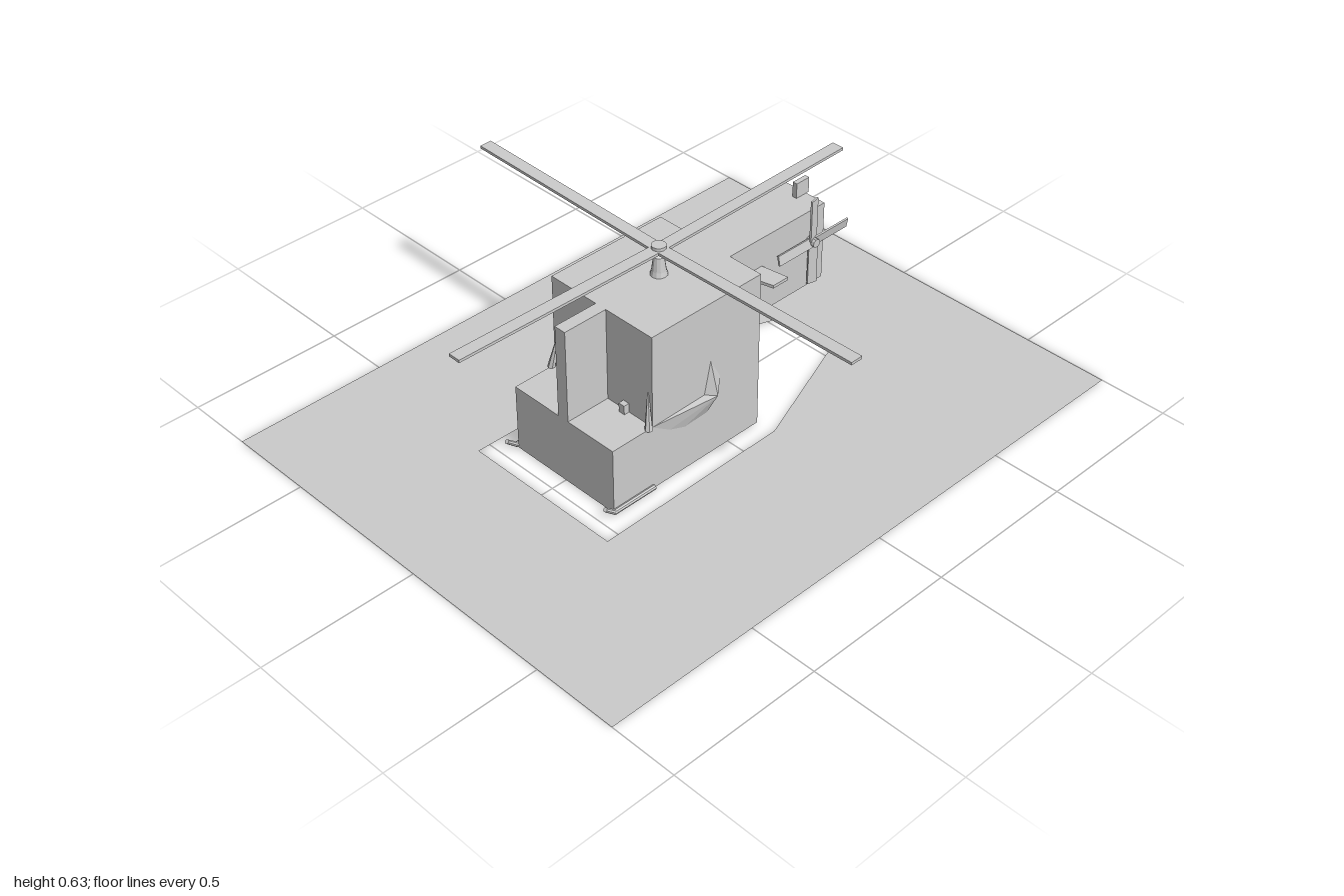
import * as THREE from 'three';

const material = new THREE.MeshStandardMaterial({ color: 0xcccccc, flatShading: true, side: THREE.DoubleSide });

export function createModel() {
  const model = new THREE.Group();

  const add = (name, geometry, parent = model) => {
    const mesh = new THREE.Mesh(geometry, material);
    mesh.name = name;
    parent.add(mesh);
    return mesh;
  };
  // box given by its limits on each axis
  const box = (name, [x0, x1], [y0, y1], [z0, z1], parent) => {
    const mesh = add(name, new THREE.BoxGeometry(x1 - x0, y1 - y0, z1 - z0), parent);
    mesh.position.set((x0 + x1) / 2, (y0 + y1) / 2, (z0 + z1) / 2);
    return mesh;
  };
  // tapered rod between two points
  const rod = (name, a, b, r0, r1, sides = 8) => {
    const from = new THREE.Vector3(...a), dir = new THREE.Vector3(...b).sub(from);
    const mesh = add(name, new THREE.CylinderGeometry(r1, r0, dir.length(), sides));
    mesh.position.copy(from).addScaledVector(dir, 0.5);
    mesh.quaternion.setFromUnitVectors(new THREE.Vector3(0, 1, 0), dir.normalize());
    return mesh;
  };
  const outline = (points) => points.map(([x, y]) => new THREE.Vector2(x, y));

  // ground plate with a cut-out around the fuselage (shape y becomes -z)
  const plate = new THREE.Shape(outline([[-0.78, -1], [0.78, -1], [0.78, 1], [-0.78, 1]]));
  plate.holes.push(new THREE.Path(outline([
    [-0.27, -0.54], [-0.26, 0.13], [-0.1, 0.555], [0.1, 0.555], [0.26, 0.13], [0.27, -0.54],
  ])));
  add('groundPlate', new THREE.ShapeGeometry(plate).rotateX(-Math.PI / 2));

  // blocky fuselage
  box('lowerHull', [-0.2, 0.2], [0.003, 0.223], [-0.12, 0.45]);
  box('cabin', [-0.2, 0.2], [0.223, 0.53], [-0.12, 0.3]);
  box('windscreenPost', [-0.02, 0.02], [0.223, 0.53], [0.3, 0.45]);
  box('tailBoom', [-0.08, 0.08], [0.27, 0.53], [-0.51, -0.12]);
  box('tailFin', [-0.008, 0.008], [0.53, 0.58], [-0.52, -0.468]);
  rod('tailLight', [0, 0.33, -0.505], [0, 0.33, -0.517], 0.01, 0.006);

  // mast and main rotor with slightly raised blade tips
  const mast = add('mast', new THREE.LatheGeometry(outline([
    [0.026, 0.53], [0.022, 0.545], [0.016, 0.59], [0.008, 0.595], [0.008, 0.61],
  ]), 12));
  mast.position.z = 0.08;
  const mainRotor = new THREE.Group();
  mainRotor.name = 'mainRotor';
  mainRotor.position.set(0, 0.613, 0.08);
  model.add(mainRotor);
  const hub = add('mainHub', new THREE.CylinderGeometry(0.022, 0.022, 0.024, 12), mainRotor);
  hub.position.y = 0.003;
  for (let i = 0; i < 4; i++) {
    const arm = new THREE.Group();
    arm.name = 'mainBladeArm';
    arm.rotation.set(0, i * Math.PI / 2, 0.016);
    arm.rotation.order = 'YXZ';
    mainRotor.add(arm);
    box('mainBlade', [0.005, 0.73], [-0.004, 0.005], [-0.02, 0.02], arm);
  }

  // tail rotor on the left side of the boom
  const tailRotor = new THREE.Group();
  tailRotor.name = 'tailRotor';
  tailRotor.position.set(0.095, 0.43, -0.45);
  model.add(tailRotor);
  add('tailHub', new THREE.CylinderGeometry(0.014, 0.014, 0.03, 10).rotateZ(Math.PI / 2), tailRotor);
  for (let i = 0; i < 4; i++) {
    const arm = new THREE.Group();
    arm.name = 'tailBladeArm';
    arm.rotation.x = i * Math.PI / 2;
    tailRotor.add(arm);
    const blade = box('tailBlade', [-0.003, 0.003], [0.005, 0.145], [-0.016, 0.016], arm);
    blade.rotation.y = 0.2;
  }

  for (const s of [-1, 1]) {
    const side = s > 0 ? 'left' : 'right';

    // swept tailplane
    const wing = new THREE.Shape(outline([[0.07 * s, 0.18], [0.17 * s, 0.205], [0.17 * s, 0.265], [0.07 * s, 0.25]]));
    const tailplane = add(side + 'Tailplane',
      new THREE.ExtrudeGeometry(wing, { depth: 0.01, bevelEnabled: false }).rotateX(-Math.PI / 2));
    tailplane.position.y = 0.423;

    // faceted side blister: a fan from its outer point to its edge on the hull
    const edge = [[0.223, 0.31], [0.175, 0.24], [0.152, 0.18], [0.155, 0.09], [0.21, 0.045],
      [0.26, 0.035], [0.335, 0.075], [0.225, 0.1]];
    const corners = [];
    edge.forEach(([y, z], i) => {
      const [y2, z2] = edge[(i + 1) % edge.length];
      const a = [0.199 * s, y, z], b = [0.199 * s, y2, z2];
      corners.push(0.225 * s, 0.22, 0.07, ...(s > 0 ? [...a, ...b] : [...b, ...a]));
    });
    const blister = new THREE.BufferGeometry();
    blister.setAttribute('position', new THREE.Float32BufferAttribute(corners, 3));
    blister.computeVertexNormals();
    add(side + 'Blister', blister);

    // door spike, deck pedal and skid with raised toe
    rod(side + 'DoorSpike', [0.2 * s, 0.22, 0.315], [0.183 * s, 0.335, 0.3], 0.012, 0.002, 6);
    box(side + 'Pedal', [0.095 * s - 0.011, 0.095 * s + 0.011], [0.22, 0.253], [0.298, 0.318]);
    rod(side + 'Skid', [0.206 * s, 0.012, 0.3], [0.206 * s, 0.012, 0.455], 0.008, 0.008);
    rod(side + 'SkidToe', [0.206 * s, 0.01, 0.45], [0.206 * s, 0.042, 0.488], 0.008, 0.007);
  }
  return model;
}
